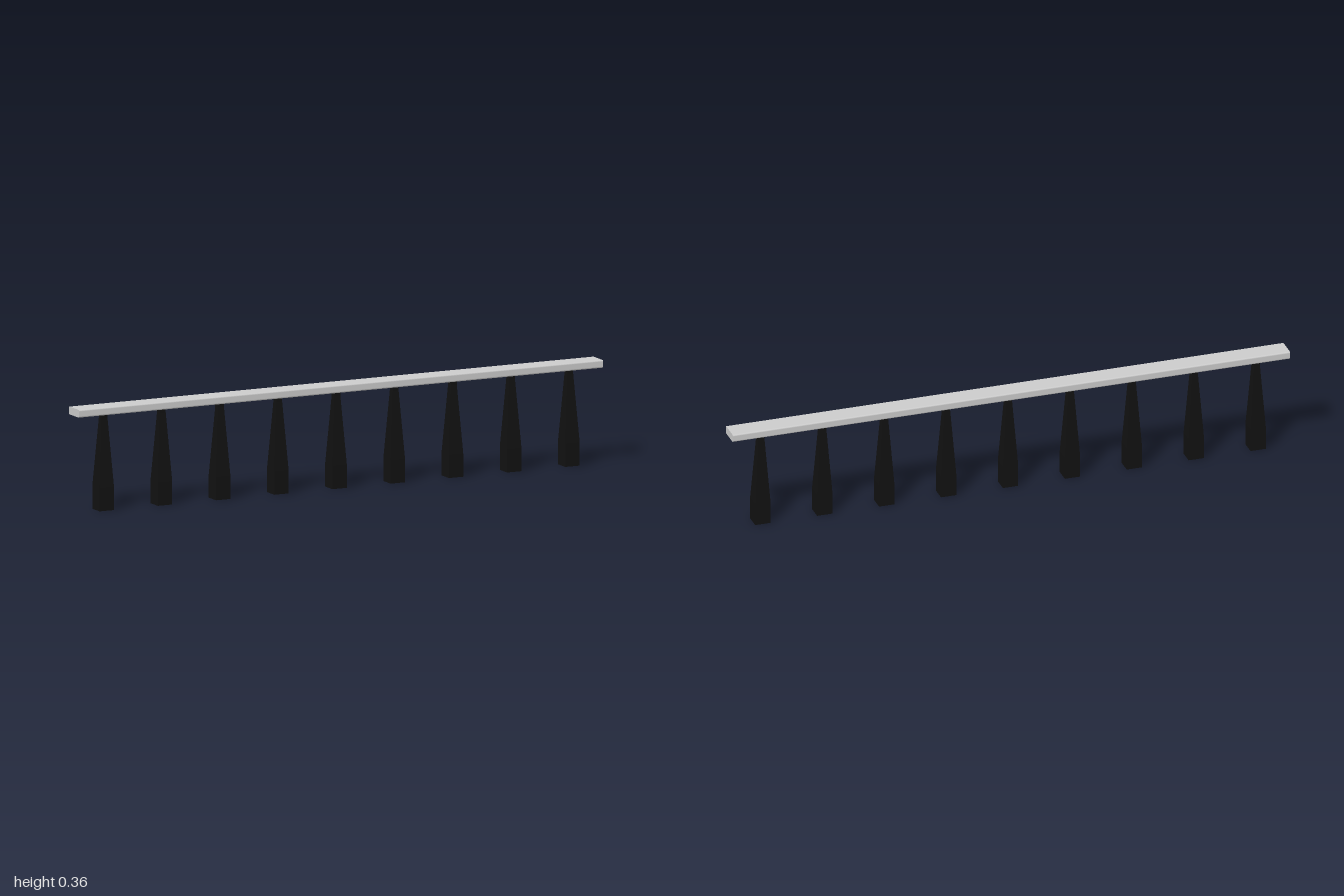
import * as THREE from 'three';

export function createModel() {
  const model = new THREE.Group();
  const grey = new THREE.MeshStandardMaterial({ color: 0xcccccc });
  const black = new THREE.MeshStandardMaterial({ color: 0x111111, flatShading: true });

  // Long top rail: a rounded rectangle extruded along x
  const length = 2, hw = 0.0385, bottom = 0.333, top = 0.36, r = 0.005;
  const section = new THREE.Shape();
  section.absarc(hw - r, bottom + r, r, -Math.PI / 2, 0);
  section.absarc(hw - r, top - r, r, 0, Math.PI / 2);
  section.absarc(-hw + r, top - r, r, Math.PI / 2, Math.PI);
  section.absarc(-hw + r, bottom + r, r, Math.PI, Math.PI * 1.5);
  section.closePath();
  const railGeometry = new THREE.ExtrudeGeometry(section, {
    depth: length, bevelEnabled: false, curveSegments: 4,
  });
  railGeometry.translate(0, 0, -length / 2).rotateY(Math.PI / 2);
  const rail = new THREE.Mesh(railGeometry, grey);
  rail.name = 'topRail';
  model.add(rail);

  // Square posts: straight foot, long taper, short neck under the rail
  const profile = [[0, 0], [0.0275, 0], [0.0275, 0.08], [0.011, 0.318], [0.011, 0.336], [0, 0.336]]
    .map(([half, y]) => new THREE.Vector2(half * Math.SQRT2, y));
  const postGeometry = new THREE.LatheGeometry(profile, 4, Math.PI / 4);
  const count = 9, spacing = 2 / count;
  for (let i = 0; i < count; i++) {
    const post = new THREE.Mesh(postGeometry, black);
    post.name = `post${i + 1}`;
    post.position.x = (i - (count - 1) / 2) * spacing;
    model.add(post);
  }

  return model;
}
